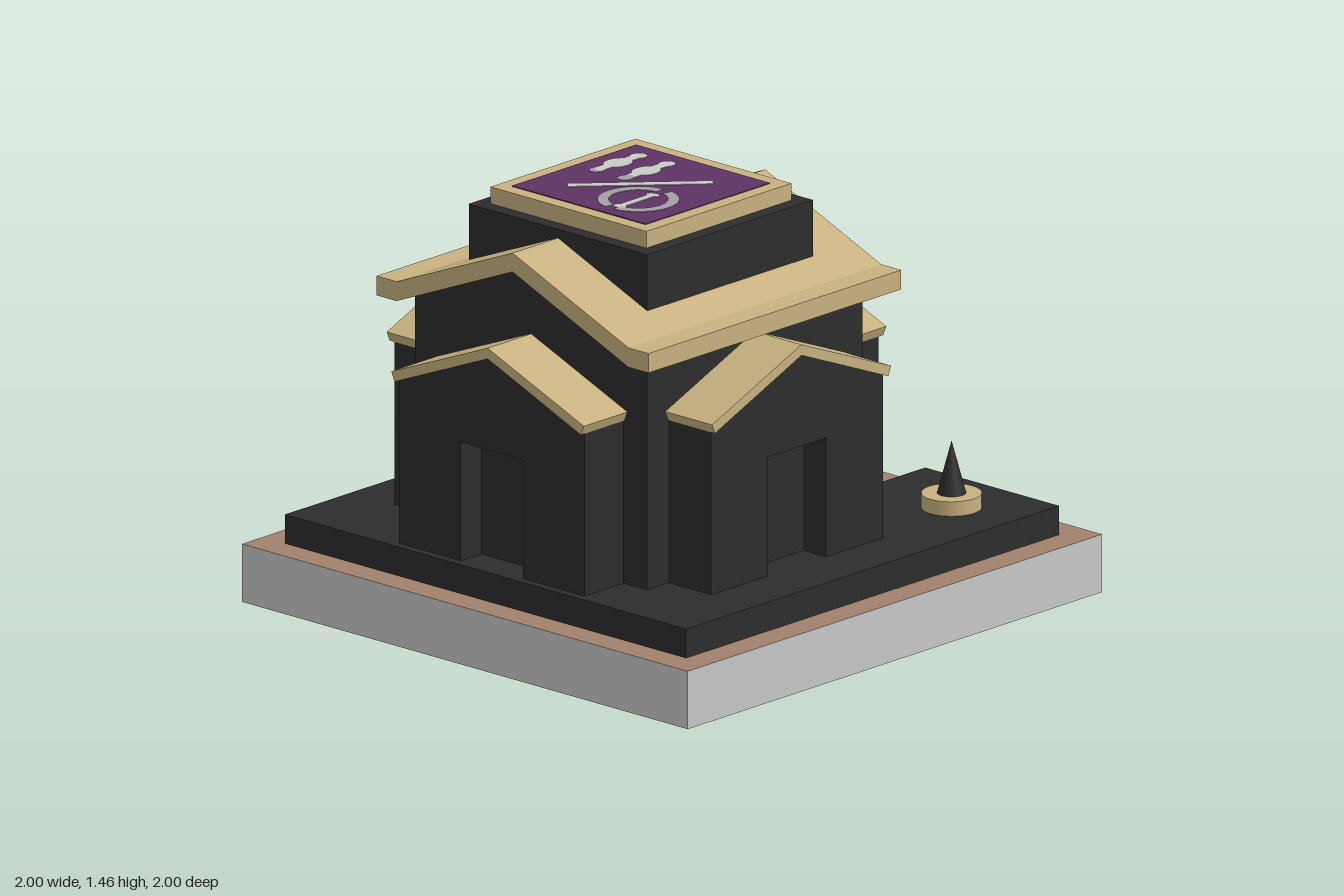
import * as THREE from 'three';

const mat = (name, color) => {
  const m = new THREE.MeshStandardMaterial({ color });
  m.name = name;
  return m;
};

export function createModel() {
  const stone = mat('pale stone', 0xc8c8c8);
  const earth = mat('brown earth', 0xa0826d);
  const dark = mat('charcoal', 0x2d2d2d);
  const gold = mat('sand gold', 0xc8b280);
  const purple = mat('purple', 0x5e3364);
  const pale = mat('pale grey', 0xcacaca);
  const grey = mat('mid grey', 0xa59da8);

  const model = new THREE.Group();
  model.name = 'temple';

  const add = (parent, name, geometry, material, x = 0, y = 0, z = 0) => {
    const mesh = new THREE.Mesh(geometry, material);
    mesh.name = name;
    mesh.position.set(x, y, z);
    parent.add(mesh);
    return mesh;
  };
  const poly = (points) => new THREE.Shape(points.map(([x, y]) => new THREE.Vector2(x, y)));
  const extrude = (shape, depth) =>
    new THREE.ExtrudeGeometry(shape, { depth, bevelEnabled: false, curveSegments: 16 });
  // Extrusion lying flat, with the shape drawn in x and -z
  const flat = (shape, height) => extrude(shape, height).rotateX(-Math.PI / 2);

  // Ground slab with stone sides
  add(model, 'groundSlab', new THREE.BoxGeometry(2, 0.2, 2),
    [stone, stone, earth, earth, stone, stone], 0, 0.1, 0);

  // Terrace with an entrance notch on the left (+x) side
  add(model, 'terrace', flat(poly([
    [-0.9, -0.9], [0.9, -0.9], [0.9, -0.3], [0.45, -0.3],
    [0.45, 0.3], [0.9, 0.3], [0.9, 0.9], [-0.9, 0.9],
  ]), 0.1), dark, 0, 0.2, 0);

  // The building is symmetric around its own axis
  const building = new THREE.Group();
  building.name = 'building';
  building.position.x = -0.16;
  model.add(building);

  // Main hall, gables facing +x and -x
  const hall = new THREE.Group();
  hall.name = 'mainHall';
  hall.rotation.y = Math.PI / 2;
  building.add(hall);
  add(hall, 'hallWalls', extrude(poly([
    [-0.52, 0.2], [0.52, 0.2], [0.52, 1.09], [0, 1.305], [-0.52, 1.09],
  ]), 1.04), dark, 0, 0, -0.52);
  add(hall, 'hallRoof', extrude(poly([
    [-0.61, 1.09], [-0.52, 1.09], [0, 1.305], [0.52, 1.09], [0.61, 1.09],
    [0.61, 1.157], [0.52, 1.157], [0, 1.37], [-0.52, 1.157], [-0.61, 1.157],
  ]), 1.22), gold, 0, 0, -0.61);

  // Four gabled porches, each with a recessed doorway
  const backWall = poly([
    [-0.415, 0.2], [0.415, 0.2], [0.415, 0.87], [0, 1.035], [-0.415, 0.87],
  ]);
  const frontWall = poly([
    [-0.415, 0.2], [-0.14, 0.2], [-0.14, 0.71], [0.14, 0.71], [0.14, 0.2],
    [0.415, 0.2], [0.415, 0.87], [0, 1.035], [-0.415, 0.87],
  ]);
  const porchRoof = poly([
    [-0.418, 0.862], [0, 1.033], [0.418, 0.862], [0.432, 0.895], [0, 1.07], [-0.432, 0.895],
  ]);
  ['front', 'left', 'back', 'right'].forEach((side, i) => {
    const porch = new THREE.Group();
    porch.name = side + 'Porch';
    porch.rotation.y = i * Math.PI / 2;
    building.add(porch);
    add(porch, 'porchCore', extrude(backWall, 0.11), dark, 0, 0, 0.5);
    add(porch, 'porchDoorWall', extrude(frontWall, 0.1), dark, 0, 0, 0.61);
    add(porch, 'porchRoof', extrude(porchRoof, 0.23), gold, 0, 0, 0.5);
  });

  // Roof block, capped by a framed panel
  add(building, 'roofBlock', new THREE.BoxGeometry(0.8, 0.3, 0.8), dark, 0.01, 1.25, 0);
  add(building, 'panelFrame', new THREE.BoxGeometry(0.7, 0.058, 0.7), gold, 0.01, 1.429, 0);
  add(building, 'panel', new THREE.BoxGeometry(0.6, 0.004, 0.6), purple, 0.01, 1.459, 0);

  // Inlaid ornament: bars, curved bands and paired ovals
  const ornament = new THREE.Group();
  ornament.name = 'ornament';
  ornament.position.y = 1.461;
  model.add(ornament);
  const bar = (name, x, z, length, width, angle = 0) => {
    const m = add(ornament, name, new THREE.BoxGeometry(length, 0.004, width), pale, x, 0, z);
    m.rotation.y = angle;
  };
  const oval = (name, x, z, rx, rz, material, lift = 0) => {
    const s = new THREE.Shape();
    s.absellipse(0, 0, rx, rz, 0, Math.PI * 2);
    add(ornament, name, flat(s, 0.002), material, x, lift, z);
  };
  bar('diagonalBar', -0.15, -0.003, 0.48, 0.034, -0.76);
  bar('shortBar', -0.29, 0.11, 0.18, 0.028);
  oval('barEnd', -0.37, 0.11, 0.018, 0.025, pale);
  oval('barEnd', -0.21, 0.11, 0.018, 0.025, pale);
  for (const start of [0.1, Math.PI + 0.1]) {
    const s = new THREE.Shape();
    s.absarc(0, 0, 0.135, start, start + 2.85, false);
    s.absarc(0, 0, 0.098, start + 2.85, start, true);
    add(ornament, 'curvedBand', flat(s, 0.002), grey, -0.275, 0, 0.105);
  }
  for (const z of [-0.21, -0.083]) {
    bar('ovalLink', -0.04, z, 0.2, 0.04);
    oval('smallOval', -0.135, z, 0.03, 0.025, grey);
    oval('largeOval', -0.035, z, 0.055, 0.043, pale);
    oval('endOval', 0.065, z, 0.03, 0.028, pale);
  }

  // Spiked bowls on the terrace
  for (const z of [-0.65, 0.65]) {
    const spike = new THREE.Group();
    spike.name = 'spikedBowl';
    spike.position.set(0.65, 0, z);
    model.add(spike);
    add(spike, 'bowl', new THREE.CylinderGeometry(0.1, 0.1, 0.05, 32), gold, 0, 0.325, 0);
    add(spike, 'spike', new THREE.ConeGeometry(0.048, 0.18, 24), dark, 0, 0.44, 0);
  }

  return model;
}
